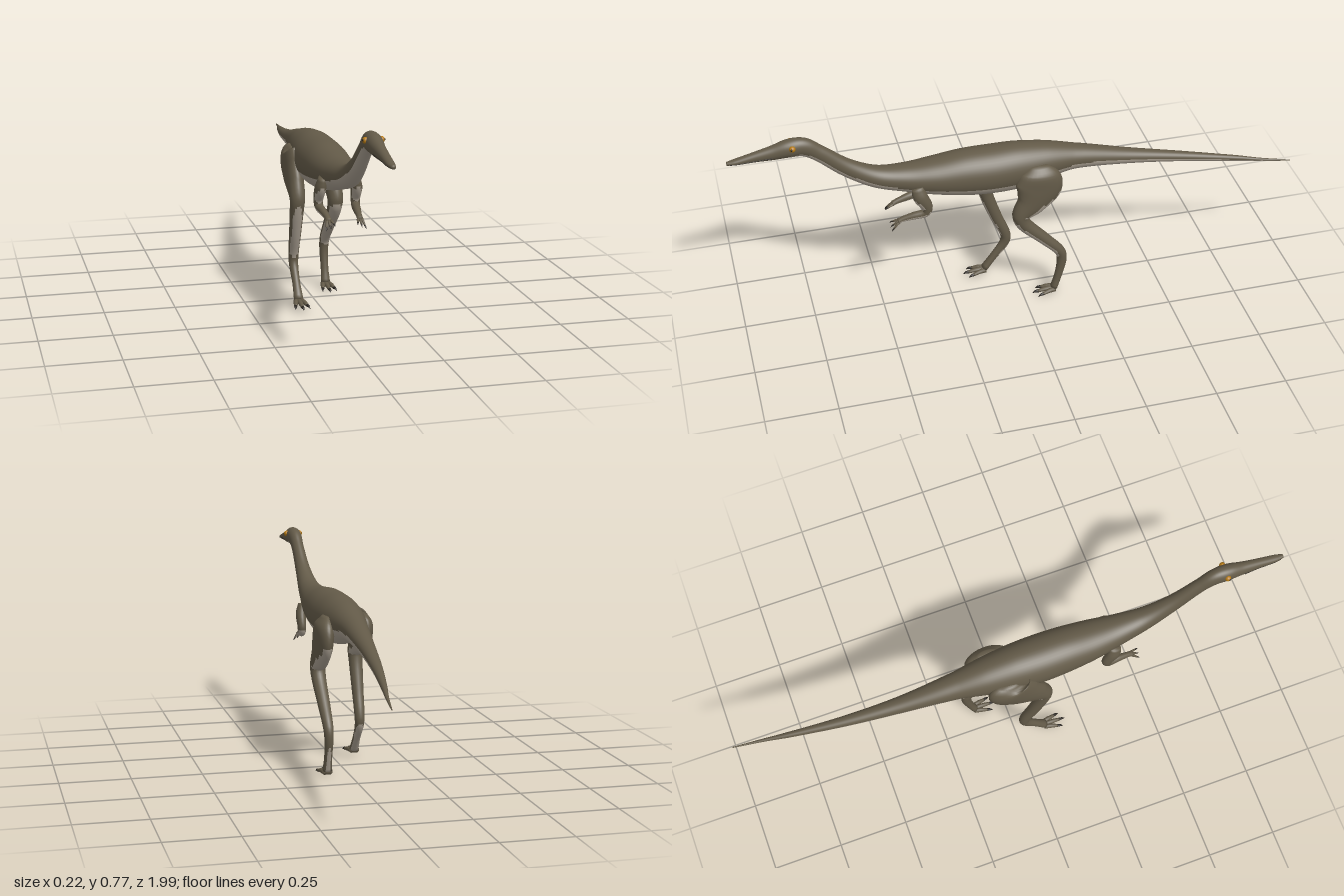
import * as THREE from 'three';

const mat = (name, color, extra = {}) => Object.assign(new THREE.MeshStandardMaterial({ color }), { name }, extra);

// Lofts elliptical rings through stations [x, y, z, half width, half depth].
// Faces whose normal points lower than limit(z) take the second material.
function loft(name, stations, materials, { sides = 16, steps = 4, limit = () => -0.25 } = {}) {
  const path = new THREE.CatmullRomCurve3(stations.map(s => new THREE.Vector3(s[0], s[1], s[2])));
  const radii = new THREE.CatmullRomCurve3(stations.map(s => new THREE.Vector3(s[3], s[4], 0)), false, 'catmullrom');
  const rings = (stations.length - 1) * steps;
  const X = new THREE.Vector3(1, 0, 0);
  const pts = [];
  for (let i = 0; i <= rings; i++) {
    const c = path.getPoint(i / rings), r = radii.getPoint(i / rings);
    const n = path.getTangent(i / rings).cross(X).normalize();
    for (let j = 0; j < sides; j++) {
      const a = (j / sides) * Math.PI * 2;
      pts.push(c.clone().addScaledVector(X, r.x * Math.cos(a)).addScaledVector(n, r.y * Math.sin(a)));
    }
  }
  const first = pts.push(path.getPoint(0)) - 1;
  const last = pts.push(path.getPoint(1)) - 1;
  const upper = [], lower = [];
  const e1 = new THREE.Vector3(), e2 = new THREE.Vector3();
  const quad = (a, b, c, d) => {
    e1.subVectors(pts[c], pts[a]);
    e2.subVectors(pts[d], pts[b]);
    const ny = e1.cross(e2).normalize().y;
    (ny < limit(pts[a].z) ? lower : upper).push(a, b, d, b, c, d);
  };
  for (let i = 0; i < rings; i++) {
    for (let j = 0; j < sides; j++) {
      const k = (j + 1) % sides, p = i * sides, q = p + sides;
      quad(p + j, p + k, q + k, q + j);
    }
  }
  // End caps
  for (let j = 0; j < sides; j++) {
    const k = (j + 1) % sides, q = rings * sides;
    upper.push(first, k, j, last, q + j, q + k);
  }
  const g = new THREE.BufferGeometry().setFromPoints(pts);
  g.setIndex([...upper, ...lower]);
  g.addGroup(0, upper.length, 0);
  g.addGroup(upper.length, lower.length, 1);
  g.computeVertexNormals();
  const mesh = new THREE.Mesh(g, materials);
  mesh.name = name;
  return mesh;
}

// Piecewise linear lookup in [key, value] rows
function lookup(rows, v) {
  for (let i = 1; i < rows.length; i++) {
    if (v <= rows[i][0]) {
      const t = Math.max(0, (v - rows[i - 1][0]) / (rows[i][0] - rows[i - 1][0]));
      return THREE.MathUtils.lerp(rows[i - 1][1], rows[i][1], t);
    }
  }
  return rows[rows.length - 1][1];
}

export function createModel() {
  const model = new THREE.Group();
  model.name = 'dinosaur';
  const hide = mat('brown hide', 0x635a48);
  const belly = mat('pale belly', 0xa99f91);
  const amber = mat('amber eye', 0xb57a14);
  const dark = mat('dark claw', 0x2b2722);
  const skin = [hide, belly], claw = [dark, dark];

  // Tail, trunk, neck and head in one skin
  const shade = [[-1, -0.05], [-0.3, -0.05], [-0.05, -0.4], [0.35, -0.4], [0.55, -0.2], [0.7, -0.25], [0.78, -0.6], [0.86, -1.1]];
  model.add(loft('body', [
    [0.09, 0.435, -0.99, 0.002, 0.002],
    [0.074, 0.447, -0.88, 0.006, 0.006],
    [0.06, 0.457, -0.8, 0.01, 0.0105],
    [0.031, 0.482, -0.6, 0.019, 0.018],
    [0.012, 0.508, -0.4, 0.03, 0.028],
    [0.002, 0.535, -0.2, 0.048, 0.046],
    [0, 0.537, -0.1, 0.065, 0.068],
    [0, 0.532, 0, 0.078, 0.086],
    [0, 0.531, 0.1, 0.083, 0.088],
    [0, 0.535, 0.2, 0.08, 0.083],
    [0, 0.54, 0.3, 0.071, 0.067],
    [0, 0.55, 0.4, 0.055, 0.05],
    [0, 0.57, 0.5, 0.04, 0.039],
    [0, 0.625, 0.6, 0.028, 0.032],
    [0, 0.7, 0.69, 0.023, 0.029],
    [0, 0.733, 0.74, 0.026, 0.033],
    [0, 0.736, 0.785, 0.028, 0.033],
    [0, 0.727, 0.84, 0.022, 0.026],
    [0, 0.72, 0.9, 0.017, 0.018],
    [0, 0.711, 0.97, 0.013, 0.01],
    [0, 0.709, 0.997, 0.007, 0.006],
  ], skin, { sides: 48, steps: 6, limit: z => lookup(shade, z) }));

  // A toe or finger ending in a claw
  function digit(name, from, tip, r, length) {
    const a = new THREE.Vector3(...from), b = new THREE.Vector3(...tip);
    const dir = b.clone().sub(a).normalize();
    const mid = a.clone().lerp(b, 0.5);
    const end = b.clone().addScaledVector(dir, length);
    const g = new THREE.Group();
    g.name = name;
    g.add(loft('digit', [
      [...from, r, r], [mid.x, mid.y + r * 0.3, mid.z, r * 0.9, r * 0.9], [...tip, r * 0.6, r * 0.6],
    ], skin, { sides: 10, limit: () => -0.5 }));
    const base = b.clone().addScaledVector(dir, -r * 0.3);
    g.add(loft('claw', [
      [base.x, base.y, base.z, r * 0.65, r * 0.65],
      [(b.x + end.x) / 2, (b.y + end.y) / 2, (b.z + end.z) / 2, r * 0.45, r * 0.45],
      [end.x, end.y - r * 0.5, end.z, r * 0.06, r * 0.06],
    ], claw, { sides: 8 }));
    return g;
  }

  // Legs in mid stride: the left trails, the right leads
  const legs = {
    leftLeg: [1, [
      [0.068, 0.56, -0.06, 0.012, 0.03], [0.073, 0.53, -0.06, 0.032, 0.07],
      [0.077, 0.475, -0.055, 0.032, 0.085], [0.079, 0.42, -0.03, 0.03, 0.06],
      [0.08, 0.37, 0.01, 0.028, 0.032], [0.08, 0.335, 0.002, 0.026, 0.027],
      [0.079, 0.25, -0.075, 0.022, 0.022], [0.078, 0.178, -0.137, 0.018, 0.019],
      [0.077, 0.14, -0.143, 0.016, 0.018], [0.077, 0.07, -0.13, 0.014, 0.014],
      [0.077, 0.02, -0.115, 0.017, 0.013],
    ]],
    rightLeg: [-1, [
      [0.068, 0.56, -0.03, 0.012, 0.03], [0.073, 0.53, -0.03, 0.032, 0.08],
      [0.076, 0.48, 0.015, 0.032, 0.08], [0.078, 0.44, 0.065, 0.03, 0.055],
      [0.079, 0.4, 0.1, 0.027, 0.03], [0.08, 0.365, 0.097, 0.025, 0.025],
      [0.079, 0.26, 0.062, 0.021, 0.022], [0.077, 0.17, 0.027, 0.018, 0.019],
      [0.077, 0.138, 0.032, 0.016, 0.018], [0.077, 0.085, 0.07, 0.014, 0.014],
      [0.077, 0.034, 0.108, 0.017, 0.013],
    ]],
  };
  for (const [name, [side, rows]] of Object.entries(legs)) {
    const leg = new THREE.Group();
    leg.name = name;
    leg.add(loft('limb', rows.map(([x, ...rest]) => [x * side, ...rest]), skin, { sides: 24, steps: 5 }));
    const [x, y, z] = rows[rows.length - 1];
    for (const spread of [-1, 0, 1]) {
      const reach = spread ? 0.045 : 0.06;
      leg.add(digit('toe', [x * side + spread * 0.009, y - 0.006, z - 0.004],
        [x * side + spread * 0.021, y - 0.01, z + reach], 0.0095, 0.02));
    }
    model.add(leg);
  }

  for (const side of [1, -1]) {
    // Folded arm and clawed hand
    const arm = new THREE.Group();
    arm.name = side > 0 ? 'leftArm' : 'rightArm';
    arm.add(loft('limb', [
      [0.058, 0.535, 0.37, 0.012, 0.02], [0.062, 0.5, 0.362, 0.019, 0.026],
      [0.064, 0.455, 0.34, 0.016, 0.02], [0.063, 0.432, 0.345, 0.015, 0.016],
      [0.058, 0.422, 0.385, 0.013, 0.014], [0.054, 0.412, 0.425, 0.01, 0.01],
      [0.053, 0.406, 0.442, 0.011, 0.008],
    ].map(([x, ...rest]) => [x * side, ...rest]), skin, { sides: 16, limit: () => -0.2 }));
    for (const spread of [-1, 0, 1]) {
      arm.add(digit('finger', [(0.053 + spread * 0.006) * side, 0.405, 0.438],
        [(0.053 + spread * 0.012) * side, 0.393 - spread * 0.006, 0.458], 0.005, 0.013));
    }
    model.add(arm);

    // Eye with pupil
    const eye = new THREE.Mesh(new THREE.SphereGeometry(0.011, 20, 14), amber);
    eye.name = 'eye';
    eye.position.set(0.025 * side, 0.746, 0.778);
    const pupil = new THREE.Mesh(new THREE.SphereGeometry(0.0045, 12, 10), dark);
    pupil.name = 'pupil';
    pupil.position.set(0.0335 * side, 0.747, 0.781);
    pupil.scale.x = 0.7;
    model.add(eye, pupil);

    // Mouth line
    const lip = new THREE.CatmullRomCurve3([[0.0095, 0.707, 0.985], [0.0125, 0.708, 0.965], [0.0155, 0.713, 0.9], [0.0205, 0.717, 0.845]]
      .map(([x, y, z]) => new THREE.Vector3(x * side, y, z)));
    const mouth = new THREE.Mesh(new THREE.TubeGeometry(lip, 20, 0.0014, 6), dark);
    mouth.name = 'mouthLine';
    model.add(mouth);
  }
  return model;
}
